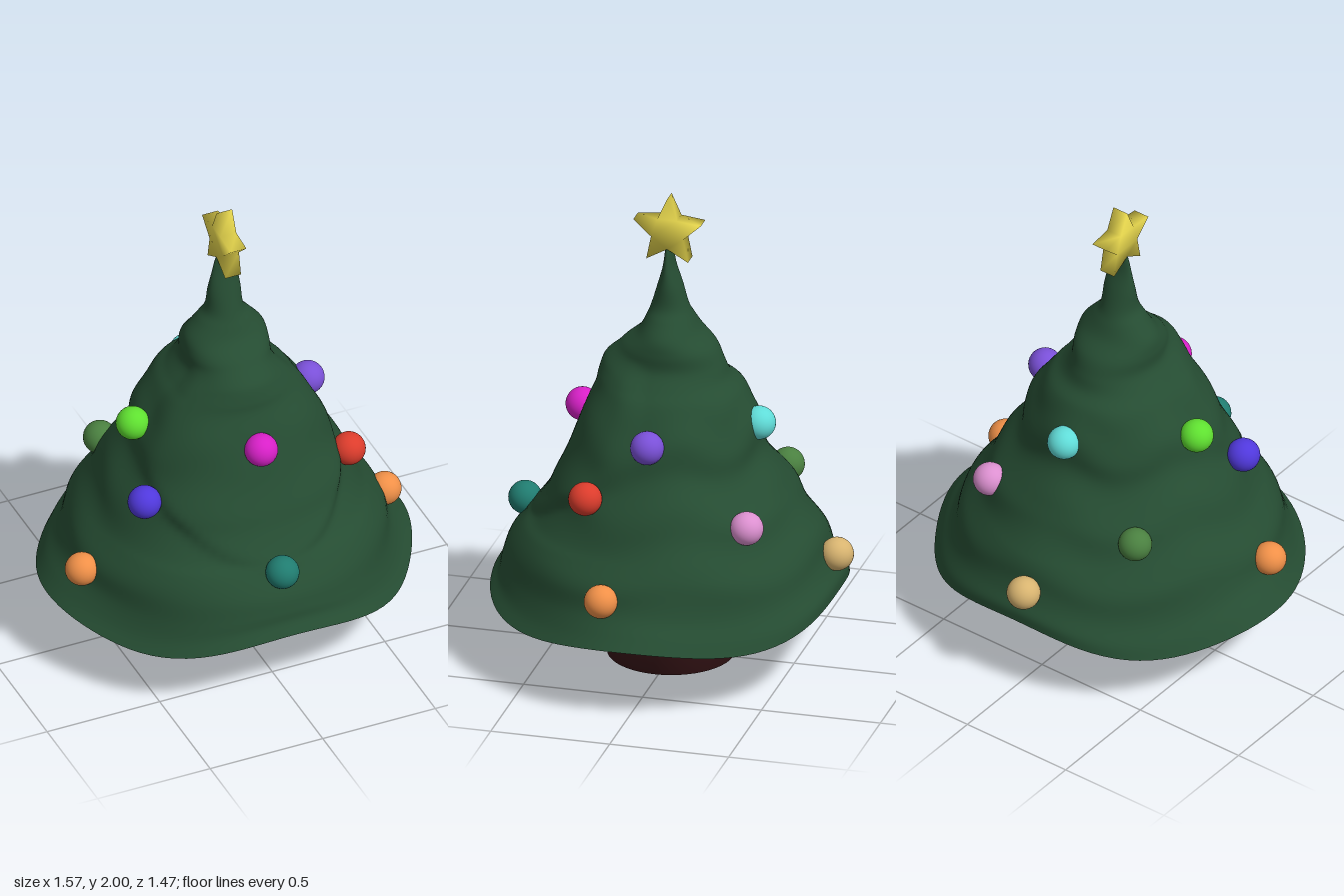
import * as THREE from 'three';
import { mergeVertices } from 'three/addons/utils/BufferGeometryUtils.js';

const mat = (color, extra = {}) => new THREE.MeshStandardMaterial({ color, roughness: 0.8, ...extra });
const { smoothstep, lerp } = THREE.MathUtils;

// Cross-sections of the foliage: height, half width, front z, back z
const SECTIONS = [
  [0.31, 0.785, 0.735, -0.69], [0.36, 0.738, 0.705, -0.685], [0.42, 0.685, 0.695, -0.655],
  [0.50, 0.65, 0.67, -0.63], [0.58, 0.60, 0.61, -0.595], [0.63, 0.57, 0.55, -0.565],
  [0.72, 0.52, 0.485, -0.51], [0.80, 0.475, 0.45, -0.445], [0.90, 0.42, 0.405, -0.385],
  [1.00, 0.378, 0.365, -0.355], [1.10, 0.335, 0.33, -0.33], [1.18, 0.28, 0.295, -0.285],
  [1.23, 0.23, 0.285, -0.23], [1.29, 0.183, 0.265, -0.205], [1.36, 0.18, 0.22, -0.172],
  [1.42, 0.167, 0.15, -0.11], [1.48, 0.118, 0.117, -0.077], [1.53, 0.08, 0.097, -0.055],
  [1.62, 0.07, 0.07, -0.028], [1.70, 0.056, 0.048, 0.0], [1.78, 0.035, 0.037, 0.012],
  [1.80, 0.002, 0.026, 0.024],
];
const SEGMENTS = 96;
const smoothCurve = (points) => new THREE.CatmullRomCurve3(points, false, 'catmullrom', 0.5);
const spread = smoothCurve(SECTIONS.map(([, w, f, b]) => new THREE.Vector3(w, f, b)));
const heights = smoothCurve(SECTIONS.map(([y]) => new THREE.Vector3(0, y, 0)));

// Point on the foliage: t climbs from rim to tip, a turns from front to left
function foliagePoint(t, a) {
  const { x: w, y: front, z: back } = spread.getPoint(t);
  const y0 = heights.getPoint(t).y;
  const s = Math.sin(a), c = Math.cos(a);
  // hem is faintly six-sided, the middle fuller in front than behind
  const hem = 1 - smoothstep(y0, 0.31, 0.55);
  const middle = smoothstep(y0, 0.4, 0.7) * (1 - smoothstep(y0, 1.0, 1.3));
  const p = 2.02 + middle * (0.08 + 0.22 * c);
  const round = Math.pow(Math.abs(s) ** p + Math.abs(c) ** p, -1 / p) * (1 + 0.012 * hem * (1 - Math.cos(6 * a)));
  let x = w * (1 - 0.024 * hem) * s * round;
  let z = (front + back) / 2 + ((front - back) / 2) * c * round;
  // raised bough draped over the front
  const lobe = Math.hypot(x / 0.44, (y0 - 0.96) / 0.38);
  let bulge = 0.028 * smoothstep(c, 0.1, 0.5) * (1 - smoothstep(lobe, 0.86, 1.04));
  // scalloped tiers around the sides and back
  const band = smoothstep(y0, 0.4, 0.55) * (1 - smoothstep(y0, 1.05, 1.25));
  const wave = Math.sin(((y0 + 0.035 * Math.cos(5 * a)) * 2 * Math.PI) / 0.24);
  bulge += 0.009 * band * (1 - 0.85 * Math.max(0, c)) * wave;
  x += bulge * s;
  z += bulge * c;
  // hem dips at the four diagonals
  const dip = -0.011 + 0.0175 * Math.cos(2 * a) + 0.029 * Math.cos(4 * a);
  return new THREE.Vector3(x, y0 + hem * dip, z);
}

// Smooth skin through closed rings listed from bottom to top
function skin(rings, point) {
  const pos = [], index = [];
  for (let i = 0; i <= rings; i++) {
    for (let j = 0; j < SEGMENTS; j++) pos.push(...point(i / rings, (j / SEGMENTS) * Math.PI * 2).toArray());
  }
  for (let i = 0; i < rings; i++) {
    for (let j = 0; j < SEGMENTS; j++) {
      const a = i * SEGMENTS + j, b = i * SEGMENTS + ((j + 1) % SEGMENTS);
      index.push(a, b, b + SEGMENTS, a, b + SEGMENTS, a + SEGMENTS);
    }
  }
  const g = new THREE.BufferGeometry();
  g.setAttribute('position', new THREE.Float32BufferAttribute(pos, 3));
  g.setIndex(index);
  g.computeVertexNormals();
  return g;
}

// Share normals across every edge
function soften(geometry) {
  geometry.deleteAttribute('normal');
  geometry.deleteAttribute('uv');
  const g = mergeVertices(geometry);
  g.computeVertexNormals();
  return g;
}

function starGeometry(outer, inner, depth) {
  const shape = new THREE.Shape();
  for (let i = 0; i < 10; i++) {
    const r = i % 2 ? inner : outer;
    const a = Math.PI / 2 + (i * Math.PI) / 5;
    shape[i ? 'lineTo' : 'moveTo'](r * Math.cos(a), r * Math.sin(a));
  }
  shape.closePath();
  return new THREE.ExtrudeGeometry(shape, { depth, bevelEnabled: false }).translate(0, 0, -depth / 2);
}

export function createModel() {
  const group = new THREE.Group();
  const add = (name, geometry, material, x = 0, y = 0, z = 0) => {
    const mesh = new THREE.Mesh(geometry, material);
    mesh.name = name;
    mesh.position.set(x, y, z);
    group.add(mesh);
    return mesh;
  };

  // Foliage and its slightly hollow underside
  const green = mat(0x254c32, { side: THREE.DoubleSide });
  add('foliage', skin(126, foliagePoint), green);
  add('underside', skin(10, (t, a) => {
    const v = foliagePoint(0, a);
    const k = Math.max(t, 0.001);
    return new THREE.Vector3(v.x * k, lerp(0.345, v.y, t ** 3), v.z * k);
  }), green);

  // Trunk
  add('trunk', soften(new THREE.CylinderGeometry(0.26, 0.26, 0.4, 48)), mat(0x361416), 0, 0.2, 0.017);

  // Star on the tip, facing sideways
  add('star', soften(starGeometry(0.149, 0.071, 0.07)), mat(0xe4d44c), 0, 1.851, 0.025).rotation.y = Math.PI / 2;

  // Baubles: colour, x, y, z
  const baubles = [
    [0x5fe030, -0.40, 1.045, 0.01], [0x7a50d8, 0.375, 1.045, 0.015],
    [0xd820c8, 0, 1.045, 0.39], [0x60dcd8, 0, 1.045, -0.352],
    [0x5038dc, -0.455, 0.825, 0.25], [0xdc3c2c, 0.45, 0.825, 0.255],
    [0x4a8040, -0.375, 0.71, -0.37], [0xdc90d0, 0.345, 0.725, -0.395],
    [0x207c70, -0.015, 0.598, 0.635], [0xd8b470, -0.035, 0.488, -0.67],
    [0xf09048, -0.68, 0.475, 0.13], [0xf09048, 0.665, 0.475, 0.13],
  ];
  const ball = new THREE.SphereGeometry(0.069, 32, 20);
  baubles.forEach(([color, x, y, z], i) => add(`bauble${i + 1}`, ball, mat(color), x, y, z));

  return group;
}
